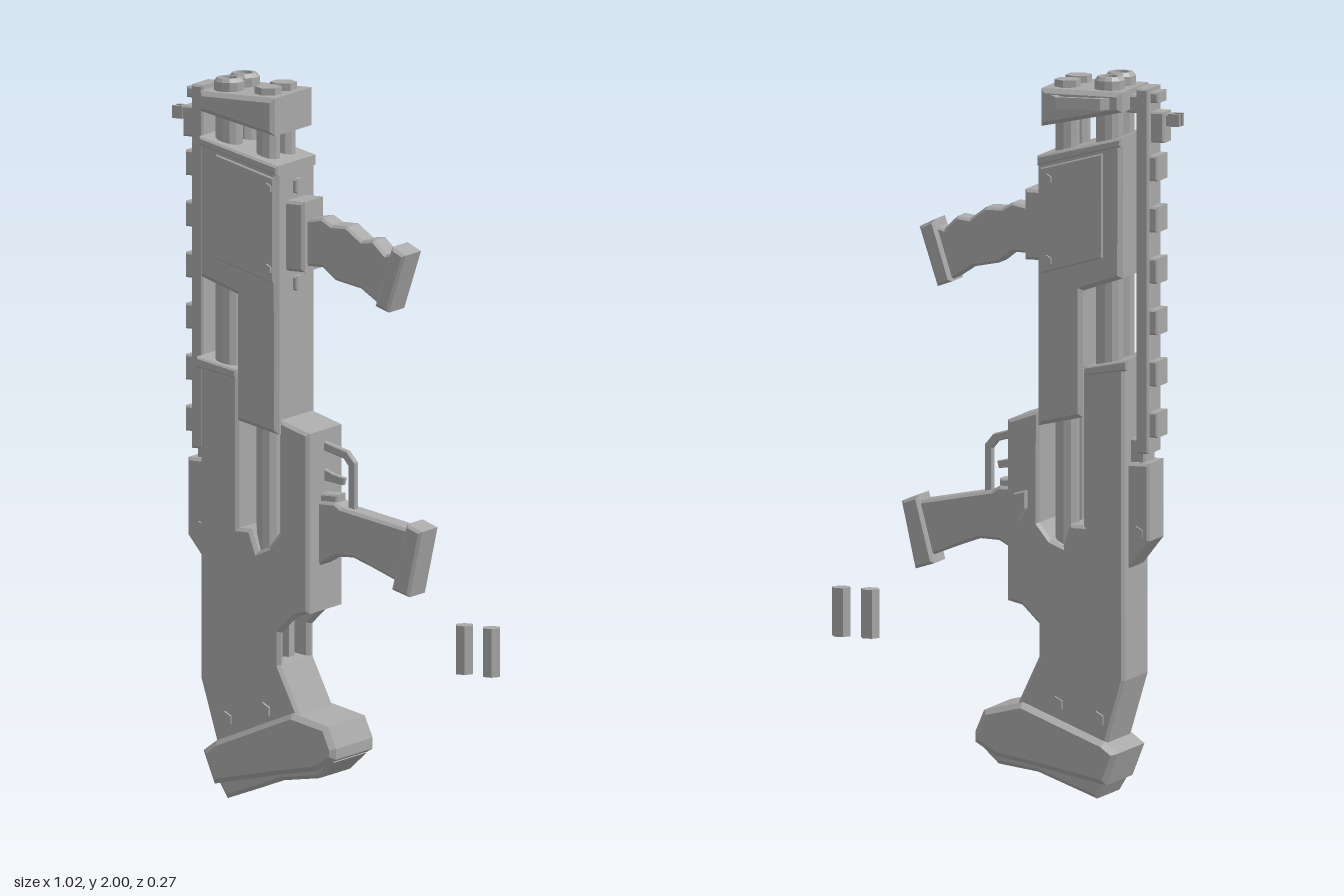
import * as THREE from 'three';

const CZ = 0.015; // mid-plane of the weapon

export function createModel() {
  const root = new THREE.Group();
  root.name = 'doubleBarrelWeapon';
  const grey = new THREE.MeshStandardMaterial({ color: 0xa8a8a8, flatShading: true });
  grey.name = 'plainGrey';

  const add = (name, geometry, x = 0, y = 0, z = 0) => {
    const mesh = new THREE.Mesh(geometry, grey);
    mesh.name = name;
    mesh.position.set(x, y, z);
    root.add(mesh);
    return mesh;
  };
  // side profile extruded from z0 to z1, with chamfered edges kept inside the outline
  const slab = (name, pts, z0, z1, bevel = 0.01) => {
    const shape = new THREE.Shape(pts.map(p => new THREE.Vector2(...p)));
    const geo = new THREE.ExtrudeGeometry(shape, {
      depth: z1 - z0 - 2 * bevel, bevelEnabled: bevel > 0, bevelThickness: bevel,
      bevelSize: bevel, bevelOffset: -bevel, bevelSegments: 1
    });
    return add(name, geo, 0, 0, z0 + bevel);
  };
  const mid = (name, pts, half, bevel) => slab(name, pts, CZ - half, CZ + half, bevel);
  const box = (name, x0, x1, y0, y1, half, bevel = 0.005) =>
    mid(name, [[x0, y0], [x1, y0], [x1, y1], [x0, y1]], half, bevel);
  const tube = (name, r, y0, y1, x, z, sides) =>
    add(name, new THREE.CylinderGeometry(r, r, y1 - y0, sides), x, (y0 + y1) / 2, z);
  const bolts = (name, x, y, r, half) => {
    const bolt = add(name, new THREE.CylinderGeometry(r, r, half * 2, 6), x, y, CZ);
    bolt.rotation.x = Math.PI / 2;
  };

  // receiver and stock: a core with a loading recess between two side walls
  const outline = recess => [
    [-0.38, 1.21], [-0.38, 0.335], [-0.32, 0.13], [-0.06, 0.24], [-0.13, 0.39],
    ...(recess ? [[-0.2, 0.4], [-0.2, 0.53]] : [[-0.13, 0.48]]),
    [-0.08, 0.53], [-0.038, 0.54], [-0.038, 1.04], [-0.13, 1.07],
    [-0.13, 0.76], [-0.165, 0.715], [-0.2, 0.70], [-0.22, 0.76], [-0.26, 0.76], [-0.26, 1.19]
  ];
  mid('receiverCore', outline(true), 0.084, 0);
  slab('receiverWallLeft', outline(false), CZ + 0.069, CZ + 0.096, 0.009);
  slab('receiverWallRight', outline(false), CZ - 0.096, CZ - 0.069, 0.009);
  box('loadingDivider', -0.21, -0.145, 0.4, 0.53, 0.016, 0);
  mid('barrelCollar', [[-0.39, 1.195], [-0.265, 1.175], [-0.265, 1.2], [-0.39, 1.225]], 0.1, 0.005);
  bolts('stockBoltRear', -0.30, 0.225, 0.024, 0.104);
  bolts('stockBoltFront', -0.18, 0.26, 0.024, 0.104);

  // butt pad in two layers
  mid('buttPlate', [[-0.365, 0.135], [-0.33, 0.045], [-0.115, 0.09], [-0.01, 0.108], [0.052, 0.145],
    [0.052, 0.175], [0.027, 0.235], [-0.085, 0.262], [-0.325, 0.165]], 0.115, 0.014);
  mid('buttCushion', [[-0.325, 0.05], [-0.298, 0.005], [-0.125, 0.07], [-0.01, 0.086],
    [0.042, 0.135], [-0.08, 0.19], [-0.3, 0.12]], 0.095, 0.01);

  // sliding forearm with side panels
  mid('forearm', [[-0.376, 1.84], [-0.376, 1.45], [-0.26, 1.41], [-0.26, 1.06],
    [-0.13, 1.03], [-0.13, 1.775]], 0.106, 0.012);
  mid('forearmPanel', [[-0.322, 1.795], [-0.322, 1.505], [-0.14, 1.452], [-0.14, 1.745]], 0.111, 0.004);
  mid('forearmTopRim', [[-0.376, 1.84], [-0.376, 1.815], [-0.13, 1.75], [-0.13, 1.778]], 0.11, 0.006);
  for (const y of [1.715, 1.49]) bolts('forearmBolt', -0.16, y, 0.016, 0.118);
  box('forearmStudUpper', -0.14, -0.117, 1.69, 1.73, 0.02);
  box('forearmStudLower', -0.14, -0.117, 1.42, 1.46, 0.02);

  // two barrels with open bores above two capped magazine tubes
  const barrelProfile = [[0.038, 1.1], [0.038, 1.965], [0.042, 1.965], [0.042, 1.99], [0.034, 2.0],
    [0.023, 2.0], [0.018, 1.95], [0, 1.95]].map(p => new THREE.Vector2(...p));
  for (const z of [CZ - 0.042, CZ + 0.042]) {
    add('barrel', new THREE.LatheGeometry(barrelProfile, 12), -0.318, 0, z);
    tube('magazineTube', 0.033, 0.6, 1.97, -0.195, z, 10);
    tube('magazineCap', 0.037, 1.96, 1.985, -0.195, z, 6);
  }

  // muzzle clamp and its sling loop
  mid('muzzleClamp', [[-0.376, 1.965], [-0.376, 1.91], [-0.14, 1.86], [-0.14, 1.965]], 0.112, 0.012);
  const loop = [[-0.35, -0.09], [-0.325, -0.12], [-0.2, -0.135], [-0.165, -0.09],
    [-0.19, -0.09], [-0.21, -0.12], [-0.315, -0.107], [-0.325, -0.09]];
  const loopShape = new THREE.Shape(loop.map(p => new THREE.Vector2(...p)));
  const sling = add('slingLoop', new THREE.ExtrudeGeometry(loopShape, { depth: 0.032, bevelEnabled: false }), 0, 1.95, 0);
  sling.rotation.x = Math.PI / 2;

  // top rail with evenly spaced teeth and front sight
  box('rail', -0.434, -0.397, 0.96, 1.97, 0.05);
  box('railFrontMount', -0.405, -0.365, 1.9, 1.95, 0.04);
  for (let i = 0; i < 6; i++) box('railTooth', -0.457, -0.428, 1.005 + i * 0.142, 1.075 + i * 0.142, 0.043);
  box('railEndStop', -0.457, -0.428, 1.93, 1.96, 0.035);
  box('sightBase', -0.472, -0.428, 1.82, 1.905, 0.03);
  box('sightPost', -0.488, -0.465, 1.865, 1.9, 0.016);
  for (const s of [-1, 1]) {
    const z = CZ + s * 0.013;
    slab('sightProng', [[-0.512, 1.865], [-0.48, 1.865], [-0.48, 1.9], [-0.512, 1.9]], z - 0.005, z + 0.005, 0);
  }

  // hinge block behind the rail
  mid('hingeBlock', [[-0.44, 0.935], [-0.44, 0.72], [-0.37, 0.63], [-0.37, 0.935]], 0.06, 0.008);
  box('railRearMount', -0.42, -0.375, 0.93, 1.0, 0.04);
  bolts('hingeBolt', -0.402, 0.74, 0.022, 0.066);

  // rear grip, trigger and guard
  mid('rearGrip', [[-0.05, 0.66], [0.01, 0.695], [0.065, 0.697], [0.125, 0.675], [0.22, 0.637],
    [0.25, 0.79], [0.03, 0.832], [0.01, 0.845], [-0.05, 0.845]], 0.036, 0.008);
  mid('rearGripCap', [[0.195, 0.622], [0.25, 0.605], [0.29, 0.79], [0.243, 0.808]], 0.05, 0.008);
  box('gripShoulder', -0.05, 0.012, 0.825, 0.865, 0.025);
  mid('triggerGuard', [[-0.05, 1.01], [0.035, 0.985], [0.06, 0.955], [0.06, 0.825], [0.038, 0.825],
    [0.038, 0.945], [0.022, 0.965], [-0.05, 0.985]], 0.01, 0.003);
  mid('trigger', [[-0.05, 0.9], [0.02, 0.89], [0.025, 0.91], [-0.01, 0.918], [-0.05, 0.935]], 0.008, 0.002);
  // safety lever on the right side
  slab('safetyLever', [[-0.098, 0.8], [-0.075, 0.76], [-0.065, 0.77], [-0.062, 0.84], [-0.098, 0.85]],
    CZ - 0.113, CZ - 0.09, 0.004);

  // front grip with finger grooves
  box('frontGripMount', -0.14, -0.075, 1.48, 1.675, 0.058, 0.008);
  mid('frontGrip', [[-0.085, 1.495], [-0.03, 1.495], [0.01, 1.463], [0.09, 1.447], [0.16, 1.4],
    [0.2, 1.555], [0.17, 1.548], [0.132, 1.585], [0.095, 1.58], [0.048, 1.615],
    [0, 1.615], [-0.03, 1.632], [-0.085, 1.622]], 0.036, 0.007);
  mid('frontGripCap', [[0.143, 1.405], [0.185, 1.39], [0.238, 1.553], [0.196, 1.574]], 0.05, 0.008);

  // two loose shells
  for (const x of [0.397, 0.482]) {
    const shell = tube('shell', 0.027, 0.4, 0.535, x, 0.012, 6);
    shell.rotation.y = Math.PI / 6;
  }
  return root;
}
